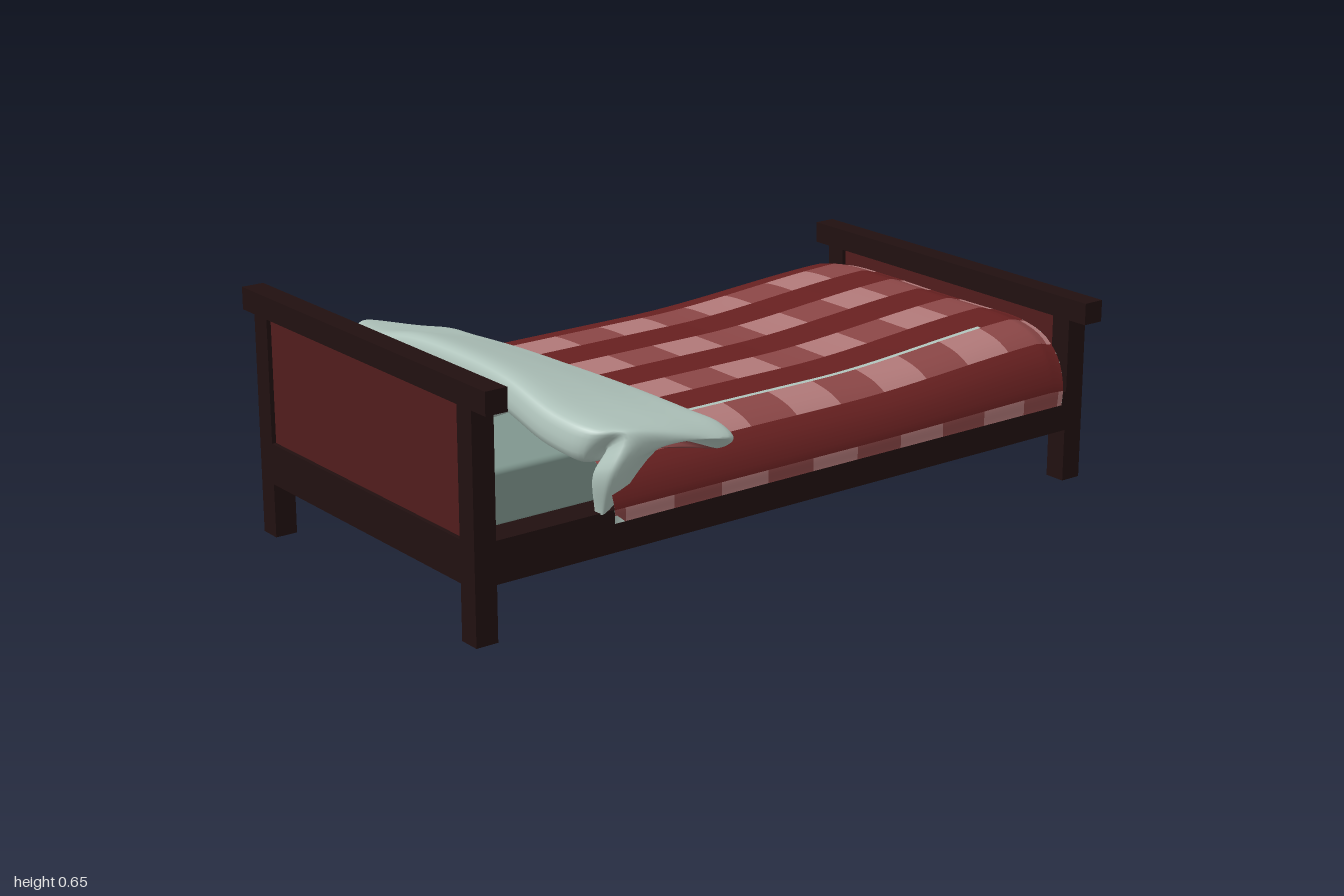
import * as THREE from 'three';
import { mergeGeometries } from 'three/addons/utils/BufferGeometryUtils.js';
import { RoundedBoxGeometry } from 'three/addons/geometries/RoundedBoxGeometry.js';
import { ParametricGeometry } from 'three/addons/geometries/ParametricGeometry.js';

const CX = 0.018; // centre line of the wooden frame
const paint = (color, side = THREE.FrontSide) => new THREE.MeshStandardMaterial({ color, side });
const wood = paint(0x211010);
const panelRed = paint(0x511c1c);
const sheet = paint(0x7f968e);
const linen = paint(0xb0c4bc, THREE.DoubleSide);
const checks = {
  dark: paint(0x672020, THREE.DoubleSide),
  medium: paint(0x8a4646, THREE.DoubleSide),
  light: paint(0xb07878, THREE.DoubleSide),
};

function mesh(name, geometry, material) {
  const m = new THREE.Mesh(geometry, material);
  m.name = name;
  return m;
}

// box given by its extents, x measured from the frame's centre line
function box(name, [x0, x1], [y0, y1], [z0, z1], material) {
  const m = mesh(name, new THREE.BoxGeometry(x1 - x0, y1 - y0, z1 - z0), material);
  m.position.set(CX + (x0 + x1) / 2, (y0 + y1) / 2, (z0 + z1) / 2);
  return m;
}

// end board: two posts, cap rail, lower rail and an inset panel
function endBoard(name, height, side) {
  const g = new THREE.Group();
  g.name = name;
  const depth = (a, b) => (side > 0 ? [a, b] : [-b, -a]);
  const z = depth(0.938, 1);
  const capBottom = height - 0.06;
  for (const s of [-1, 1]) {
    const x = s > 0 ? [0.438, 0.499] : [-0.499, -0.438];
    g.add(box('post', x, [0, capBottom], z, wood));
  }
  g.add(box('capRail', [-0.558, 0.558], [capBottom, height], z, wood));
  g.add(box('lowerRail', [-0.438, 0.438], [0.147, 0.258], z, wood));
  g.add(box('panel', [-0.438, 0.438], [0.258, capBottom], depth(0.95, 0.988), panelRed));
  return g;
}

// ---- blanket: an arched cross-section run along the bed ----
const half = [[0.2, 0.414], [0.36, 0.41], [0.46, 0.388], [0.52, 0.345], [0.548, 0.29], [0.55, 0.245]];
const arch = new THREE.CatmullRomCurve3([
  ...half.map(([x, y]) => new THREE.Vector3(-x, y, 0)).reverse(),
  new THREE.Vector3(0, 0.415, 0),
  ...half.map(([x, y]) => new THREE.Vector3(x, y, 0)),
]);
const HALF = arch.getLength() / 2;
const Z0 = -0.895, Z1 = 0.63;

// point on the blanket at girth s and length z, pushed outward by d
function blanketPoint(s, z, d, target) {
  const t = THREE.MathUtils.clamp((s + HALF) / (2 * HALF), 0, 1);
  const p = arch.getPointAt(t), n = arch.getTangentAt(t);
  const rise = (p.y - 0.245) / 0.17;
  const lift = 0.042 * THREE.MathUtils.smoothstep(-z, 0.15, 0.9) - 0.014 * THREE.MathUtils.smoothstep(-z, 0.84, 0.895);
  // the foot hem ripples and draws in toward its lower corners
  const hem = (0.005 * Math.sin(s * 11 + 1) + 0.02 * (1 - rise)) * THREE.MathUtils.smoothstep(-z, 0.7, 0.89);
  target.set(CX + p.x - n.y * d, p.y + rise * lift + n.x * d, z + hem);
}

function blanketPatch(s0, s1, z0, z1, d = () => 0, nz = 8, ns = 6) {
  return new ParametricGeometry((u, v, target) => {
    blanketPoint(s0 + (s1 - s0) * v, z0 + (z1 - z0) * u, d(u, v), target);
  }, nz, ns);
}

function blanket() {
  const g = new THREE.Group();
  g.name = 'checkedBlanket';
  const parts = { dark: [], medium: [], light: [] };
  const W = 0.122, L = 0.1475;
  for (let i = -6; i < 6; i++) {
    const s0 = Math.max(i * W, -HALF), s1 = Math.min((i + 1) * W, HALF);
    if (s1 <= s0) continue;
    for (let k = -2; k < 10; k++) {
      const z0 = Math.max(-0.73 + k * L, Z0), z1 = Math.min(-0.73 + (k + 1) * L, Z1);
      if (z1 <= z0) continue;
      const tone = i % 2 === 0 ? 'dark' : k % 2 === 0 ? 'light' : 'medium';
      parts[tone].push(blanketPatch(s0, s1, z0, z1));
    }
  }
  for (const tone in parts) g.add(mesh(tone + 'Checks', mergeGeometries(parts[tone]), checks[tone]));
  // lining meets the outer cloth along all four edges
  const inset = (u, v) => -0.026 * Math.min(1, 25 * Math.min(u, 1 - u, v, 1 - v));
  g.add(mesh('lining', blanketPatch(-HALF, HALF, Z0, Z1, inset, 50, 50), linen));
  // narrow strip of lining showing along one seam
  g.add(mesh('seam', blanketPatch(0.36, 0.372, -0.73, 0.32, () => 0.003, 20, 1), linen));
  return g;
}

// ---- turned-down top: puffy loop lofted across the bed ----
// stations: x, outward lean, z and y of the foot edge, z and y of the head edge, thickness
const stations = [
  [0, 0, 0.3, 0.43, 0.71, 0.565, 1],
  [0.22, 0.05, 0.3, 0.43, 0.712, 0.555, 1],
  [0.42, 0.12, 0.3, 0.425, 0.71, 0.51, 1],
  [0.54, 0.3, 0.305, 0.42, 0.68, 0.492, 1],
  [0.6, 0.9, 0.325, 0.4, 0.625, 0.48, 1],
  [0.588, 1.35, 0.48, 0.43, 0.655, 0.38, 0.8],
  [0.525, 1.4, 0.595, 0.28, 0.635, 0.255, 0.35],
];
// loop: position from foot edge to head edge, height off the line
const loop = [[0.06, -0.07], [0, -0.035], [0.06, 0], [0.3, 0.006], [0.6, 0.008], [0.9, 0.002],
  [1, -0.03], [0.97, -0.1], [0.6, -0.07], [0.3, -0.07]];

function turnedDownTop() {
  const mirrored = stations.slice(1).reverse().map(([x, a, ...r]) => [-x, -a, ...r]);
  const all = [...mirrored, ...stations];
  // one lengthwise curve through each loop point; the foot edge runs slightly askew
  const strands = loop.map(([t, h]) => new THREE.CatmullRomCurve3(all.map(([x, a, zf, yf, zh, yh, k]) => {
    const foot = zf - (k === 1 ? 0.075 * x : 0);
    return new THREE.Vector3(
      x + Math.sin(a) * h * k,
      yf + (yh - yf) * t + Math.cos(a) * h * k,
      foot + (zh - foot) * t);
  })));
  const n = strands.length;
  // smooth closed blend between the strands, over part of the loop
  const skin = (from, to, slices) => new ParametricGeometry((u, v, target) => {
    const f = from + (to - from) * u, i = Math.floor(f), w = f - i;
    const p = [-1, 0, 1, 2].map(o => strands[(i + o + n) % n].getPoint(v));
    const mix = c => {
      const [a, b, d, e] = p.map(q => q[c]);
      return b + 0.5 * w * (d - a + w * (2 * a - 5 * b + 4 * d - e + w * (3 * (b - d) + e - a)));
    };
    target.set(mix('x'), mix('y'), mix('z'));
  }, slices, 72);
  const g = new THREE.Group();
  g.name = 'turnedDownTop';
  g.add(mesh('foldedLining', skin(0, 7.3, 30), linen), mesh('foldedUnderside', skin(7.3, n, 10), checks.medium));
  return g;
}

// ---- pillow: two bulging faces with drawn-in edges ----
function pillow() {
  const face = s => new ParametricGeometry((u, v, target) => {
    const a = (u - 0.5) * Math.PI, b = (v - 0.5) * Math.PI;
    const p = Math.sin(a), q = Math.sin(b);
    target.set(
      s * 0.195 * p * (1 - 0.09 * (1 - q * q)),
      s * 0.062 * Math.cos(a) * Math.cos(b),
      -0.19 * q * (1 - 0.06 * (1 - p * p)));
  }, 20, 20);
  const m = mesh('pillow', mergeGeometries([face(1), face(-1)]), linen);
  m.position.set(0.015, 0.458, 0.69);
  m.rotation.x = 0.08;
  return m;
}

export function createModel() {
  const bed = new THREE.Group();
  bed.name = 'bed';
  bed.add(endBoard('headboard', 0.652, 1), endBoard('footboard', 0.52, -1));

  // side rails and the base board set up between them
  for (const x of [[-0.499, -0.457], [0.457, 0.499]]) {
    bed.add(box('sideRail', x, [0.147, 0.258], [-0.938, 0.938], wood));
  }
  bed.add(box('baseBoard', [-0.457, 0.457], [0.222, 0.25], [-0.938, 0.938], wood));

  const mattress = mesh('mattress', new RoundedBoxGeometry(0.79, 0.15, 1.87, 3, 0.015), sheet);
  mattress.position.set(CX, 0.315, 0);
  bed.add(mattress, pillow(), blanket(), turnedDownTop());
  return bed;
}
